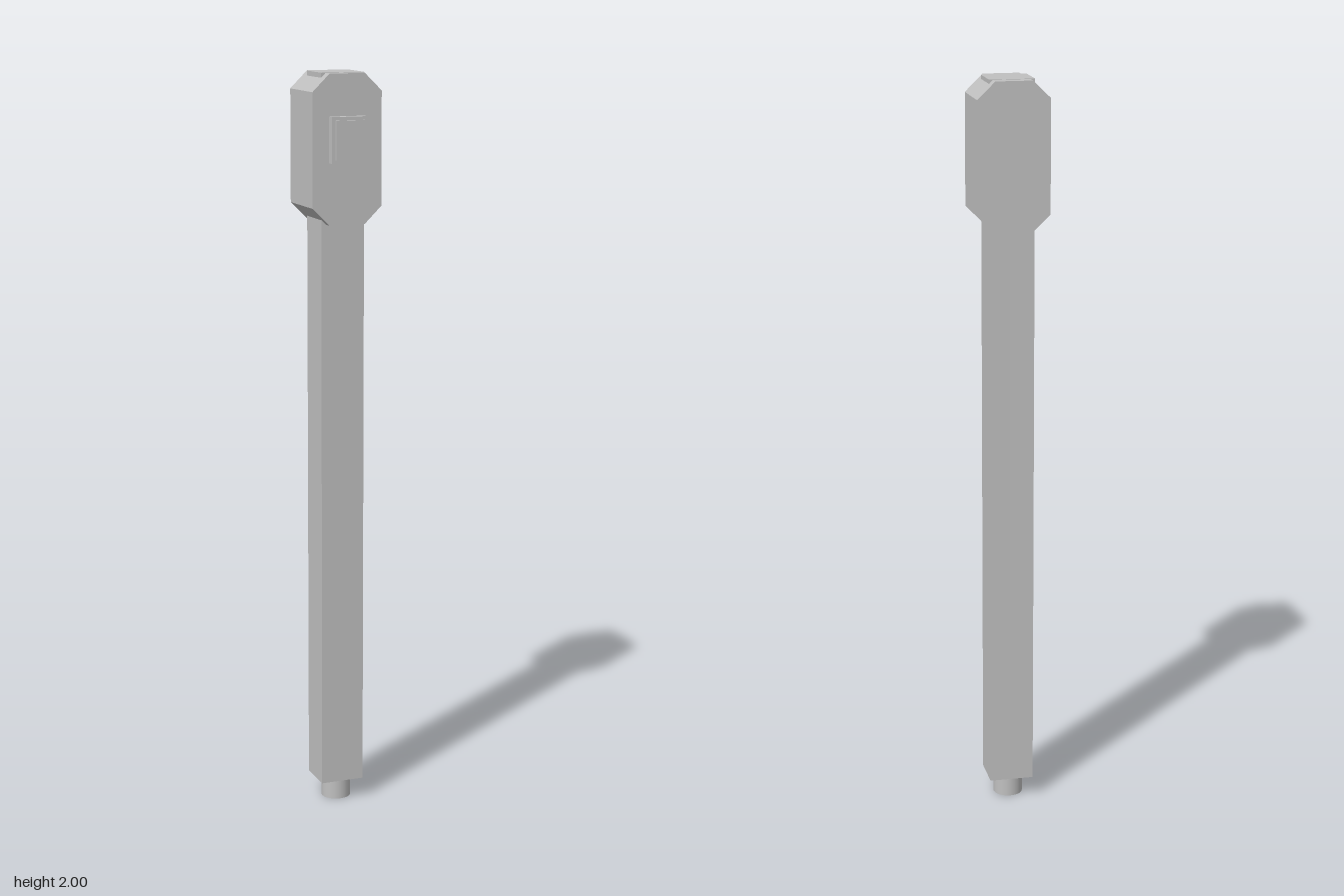
import * as THREE from 'three';

export function createModel() {
  const group = new THREE.Group();
  const grey = new THREE.MeshStandardMaterial({ color: 0xc0c0c0 });
  grey.name = 'light grey';

  const add = (name, geometry, x, y, z) => {
    const mesh = new THREE.Mesh(geometry, grey);
    mesh.name = name;
    mesh.position.set(x, y, z);
    group.add(mesh);
  };

  // box given by its minimum and maximum corners
  const addBox = (name, [x0, y0, z0], [x1, y1, z1]) =>
    add(name, new THREE.BoxGeometry(x1 - x0, y1 - y0, z1 - z0),
      (x0 + x1) / 2, (y0 + y1) / 2, (z0 + z1) / 2);

  // long square shaft, running up through the head
  addBox('shaft', [-0.061, 0.057, -0.068], [0.059, 2, 0.038]);

  // head: octagonal block with chamfered corners, slightly below the shaft top
  const w = 0.096, flat = 0.049, bottom = 1.608, top = 1.999, cut = 0.046;
  const outline = new THREE.Shape([
    [-flat, bottom], [flat, bottom], [w, bottom + cut], [w, top - cut],
    [flat, top], [-flat, top], [-w, top - cut], [-w, bottom + cut],
  ].map(([x, y]) => new THREE.Vector2(x, y)));
  add('head', new THREE.ExtrudeGeometry(outline, { depth: 0.166, bevelEnabled: false }), 0, 0, -0.099);

  // stepped button on the front of the head
  addBox('buttonBase', [-0.05, 1.77, 0.06], [0.048, 1.89, 0.088]);
  addBox('buttonCap', [-0.041, 1.779, 0.08], [0.039, 1.881, 0.096]);

  // round pin under the shaft
  add('pin', new THREE.CylinderGeometry(0.04, 0.04, 0.06, 24), -0.001, 0.03, -0.014);

  return group;
}
